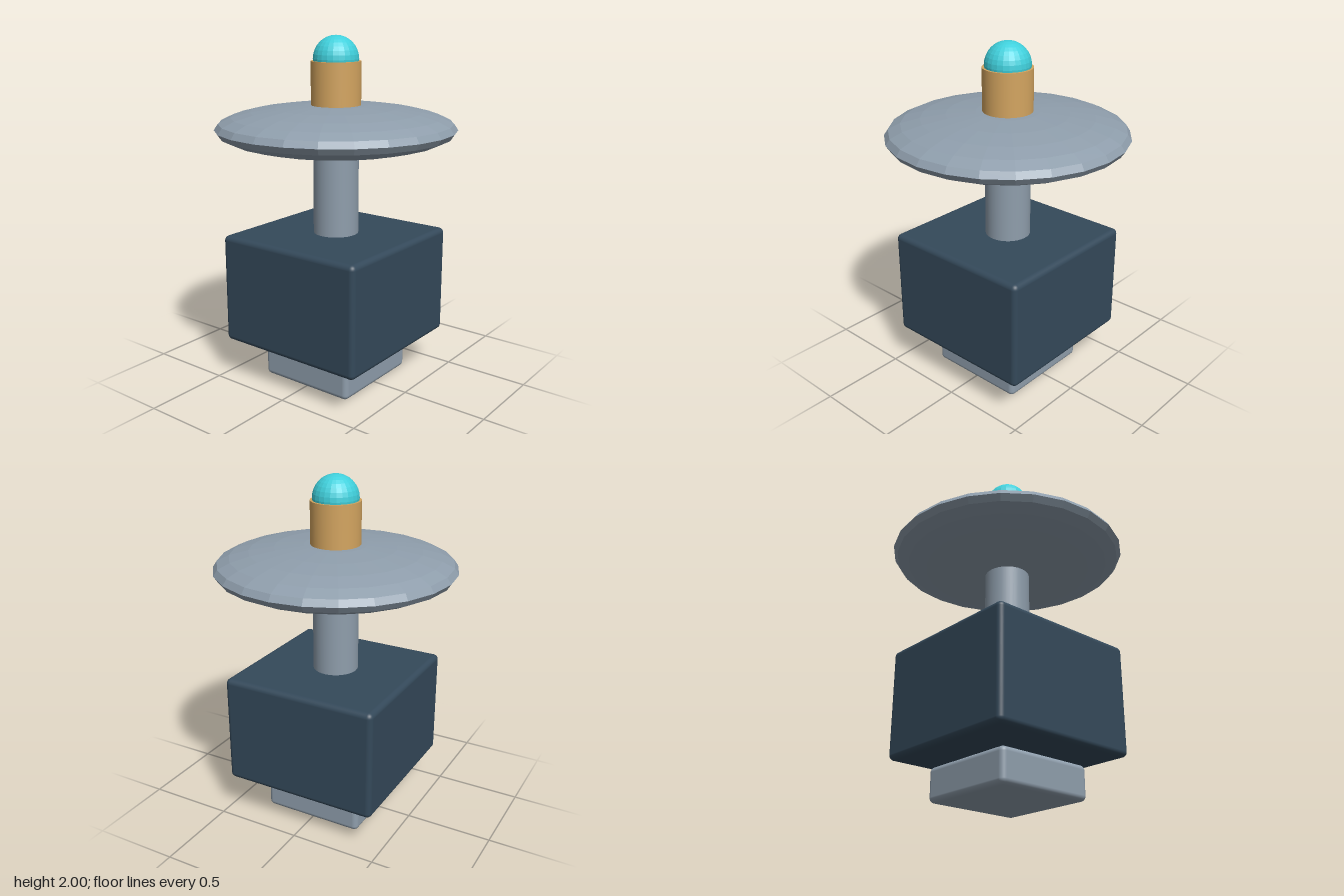
import * as THREE from 'three';
import { RoundedBoxGeometry } from 'three/addons/geometries/RoundedBoxGeometry.js';

function material(name, color, flatShading = false) {
  const m = new THREE.MeshStandardMaterial({ color, flatShading });
  m.name = name;
  return m;
}

export function createModel() {
  const group = new THREE.Group();
  group.name = 'beacon';
  const navy = material('dark navy', 0x34495a);
  const steel = material('steel grey', 0x8f9eac);
  const facetedSteel = material('faceted steel grey', 0x8f9eac, true);
  const brass = material('brass', 0xd4a560);
  const cyan = material('cyan', 0x40d0dc, true);

  const add = (name, geometry, mat, y) => {
    const mesh = new THREE.Mesh(geometry, mat);
    mesh.name = name;
    mesh.position.y = y;
    group.add(mesh);
    return mesh;
  };
  // Parts given by their bottom and top heights
  const block = (name, width, y0, y1, radius, mat) =>
    add(name, new RoundedBoxGeometry(width, y1 - y0, width, 4, radius), mat, (y0 + y1) / 2);
  const post = (name, radius, y0, y1, mat) =>
    add(name, new THREE.CylinderGeometry(radius, radius, y1 - y0, 32), mat, (y0 + y1) / 2);

  // Base and body
  block('foot', 0.6, 0.005, 0.2, 0.03, steel);
  post('lowerNeck', 0.155, 0.17, 0.27, brass);
  block('body', 0.925, 0.24, 0.88, 0.03, navy);

  // Shaft carrying the faceted lens-shaped disc
  post('shaft', 0.13, 0.85, 1.45, steel);
  const disc = new THREE.SphereGeometry(0.682, 24, 12);
  disc.scale(1, 0.196, 1);
  add('disc', disc, facetedSteel, 1.488);

  // Collar and dome on top
  post('collar', 0.141, 1.55, 1.86, brass);
  add('dome', new THREE.SphereGeometry(0.129, 24, 16), cyan, 1.871);

  return group;
}
